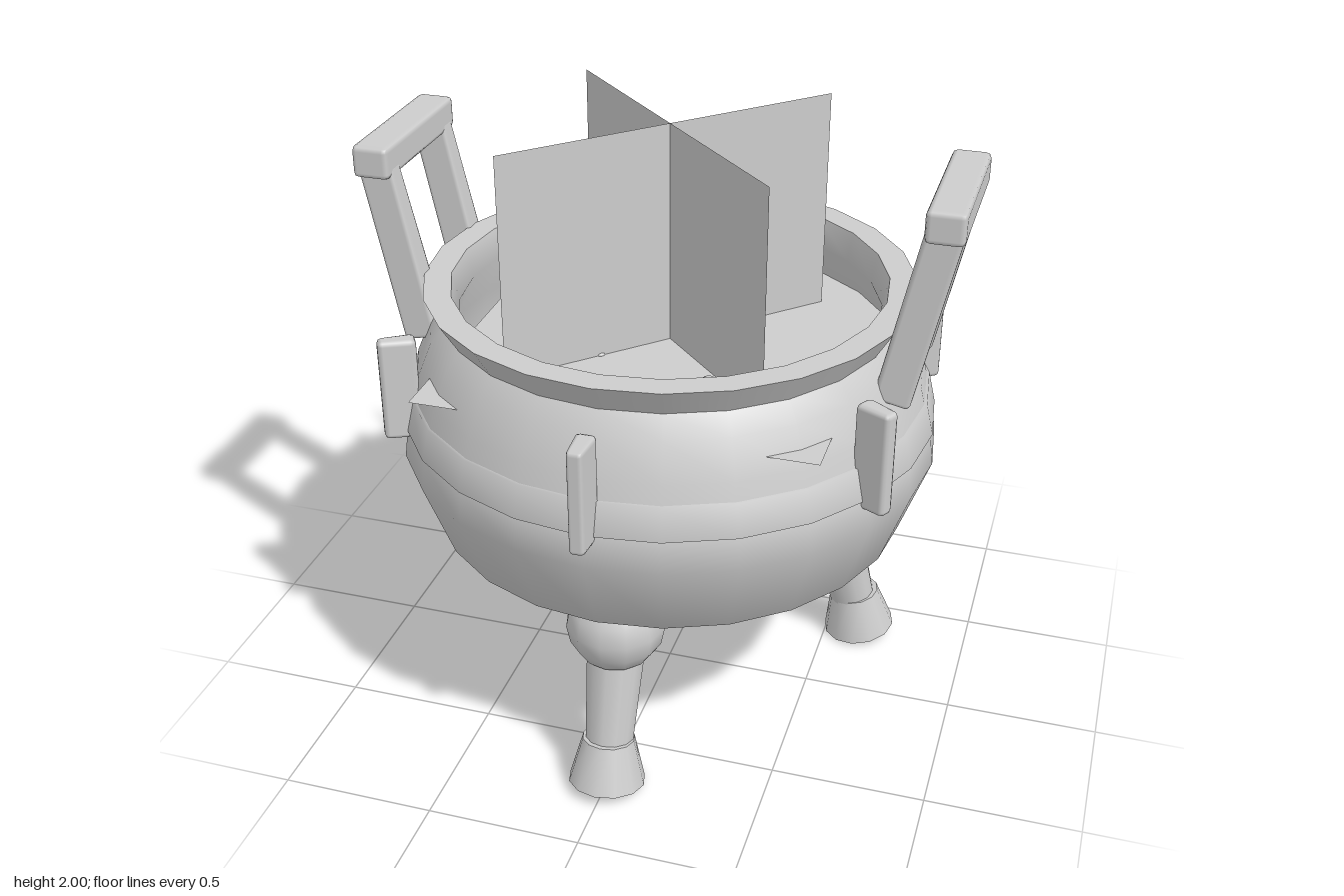
import * as THREE from 'three';
import { RoundedBoxGeometry } from 'three/addons/geometries/RoundedBoxGeometry.js';

const metal = new THREE.MeshStandardMaterial({ name: 'grey metal', color: 0xcccccc });
const sheet = new THREE.MeshStandardMaterial({ name: 'grey sheet', color: 0xcccccc, side: THREE.DoubleSide });

function add(parent, name, geometry, x = 0, y = 0, z = 0, material = metal) {
  const mesh = new THREE.Mesh(geometry, material);
  mesh.name = name;
  mesh.position.set(x, y, z);
  parent.add(mesh);
  return mesh;
}

function lathe(parent, name, points) {
  return add(parent, name, new THREE.LatheGeometry(points.map(p => new THREE.Vector2(...p)), 24));
}

// Round strut in the yz plane, leaning outwards towards its lower end
function strut(parent, name, [z1, y1, r1], [z2, y2, r2]) {
  const length = Math.hypot(z2 - z1, y2 - y1);
  const mesh = add(parent, name, new THREE.CylinderGeometry(r1, r2, length, 12), 0, (y1 + y2) / 2, (z1 + z2) / 2);
  mesh.rotation.x = -Math.atan2(z2 - z1, y1 - y2);
  return mesh;
}

function makeLeg() {
  const leg = new THREE.Group();
  leg.name = 'leg';
  add(leg, 'legJoint', new THREE.SphereGeometry(0.16, 12, 8), 0, 0.565, 0.59);
  strut(leg, 'legShaft', [0.57, 0.55, 0.1], [0.68, 0.15, 0.078]);
  const foot = strut(leg, 'foot', [0.682, 0.17, 0.085], [0.715, 0.02, 0.125]);
  foot.rotation.x = -0.17;
  return leg;
}

function makeHandle() {
  const handle = new THREE.Group();
  handle.name = 'handle';
  add(handle, 'handleBar', new RoundedBoxGeometry(0.12, 0.105, 0.525, 1, 0.018), 0.885, 1.867, 0);
  for (const side of [-1, 1]) {
    // Post is narrower at the top
    const geometry = new RoundedBoxGeometry(0.115, 0.58, 0.095, 1, 0.015);
    const pos = geometry.attributes.position;
    for (let i = 0; i < pos.count; i++) {
      pos.setZ(i, pos.getZ(i) * (0.85 - 0.5 * pos.getY(i)));
    }
    const post = add(handle, 'handlePost', geometry, 0.823, 1.56, side * 0.203);
    post.rotation.z = -0.21;
  }
  return handle;
}

export function createModel() {
  const model = new THREE.Group();
  model.name = 'cauldron';

  // Bowl, rim and inside wall
  lathe(model, 'bowl', [[0, 0.495], [0.22, 0.498], [0.45, 0.515], [0.64, 0.59], [0.78, 0.69], [0.875, 0.95],
    [0.862, 1.05], [0.82, 1.22], [0.77, 1.34], [0.725, 1.4]]);
  lathe(model, 'rimFlare', [[0.725, 1.4], [0.782, 1.495]]);
  lathe(model, 'rimTop', [[0.782, 1.495], [0.695, 1.495]]);
  lathe(model, 'insideWall', [[0.695, 1.495], [0.675, 1.4], [0.74, 1.25], [0.79, 0.95], [0.7, 0.72], [0.4, 0.58], [0, 0.56]]);

  // Raised band around the shoulder
  lathe(model, 'band', [[0.85, 1.055], [0.868, 1.056], [0.844, 1.16], [0.82, 1.161]]);

  // Six upright ribs, thinner at their outer face
  for (let i = 0; i < 6; i++) {
    const geometry = new RoundedBoxGeometry(0.064, 0.345, 0.12, 1, 0.016);
    const pos = geometry.attributes.position;
    for (let j = 0; j < pos.count; j++) {
      pos.setX(j, pos.getX(j) * (0.9 - 2.5 * pos.getZ(j)));
    }
    const a = i * Math.PI / 3;
    add(model, 'rib', geometry, 0.875 * Math.sin(a), 1.2, 0.875 * Math.cos(a)).rotation.y = a;
  }

  // Three legs and two handles
  for (let i = 0; i < 3; i++) {
    const leg = makeLeg();
    leg.rotation.y = i * Math.PI * 2 / 3;
    model.add(leg);
  }
  for (const angle of [0, Math.PI]) {
    const handle = makeHandle();
    handle.rotation.y = angle;
    model.add(handle);
  }

  // Square liquid surface with small bubbles
  add(model, 'liquid', new THREE.PlaneGeometry(1.27, 1.27), 0, 1.27, 0, sheet).rotation.x = -Math.PI / 2;
  const bubbles = [[0.42, 0.15, 0.036], [0.2, 0.25, 0.03], [0.15, 0.48, 0.027],
    [-0.1, 0.38, 0.02], [-0.18, 0.17, 0.015], [-0.32, 0.45, 0.015]];
  for (const [x, z, r] of bubbles) {
    add(model, 'bubble', new THREE.SphereGeometry(r, 8, 6), x, 1.27, z).scale.y = 0.6;
  }

  // Crossed steam sheets
  for (const angle of [Math.PI / 4, -Math.PI / 4]) {
    add(model, 'steamSheet', new THREE.PlaneGeometry(1.16, 0.75), 0, 1.625, 0, sheet).rotation.y = angle;
  }
  return model;
}
